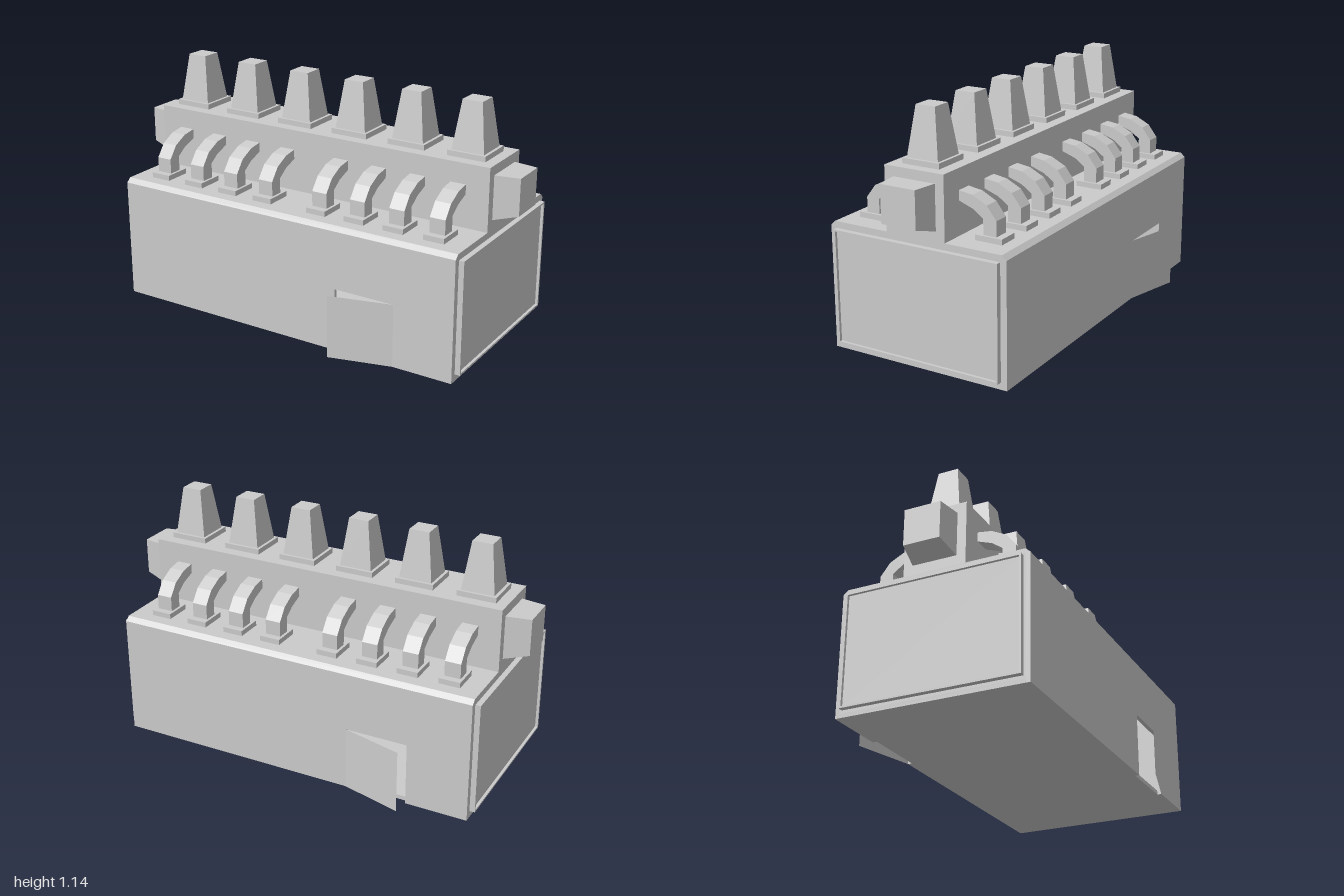
import * as THREE from 'three';

const material = new THREE.MeshStandardMaterial({ color: 0xcccccc, flatShading: true });
const sheetMaterial = new THREE.MeshStandardMaterial({ color: 0xcccccc, flatShading: true, side: THREE.DoubleSide });

const HALF = 0.885;   // half length of the building
const DEPTH = 0.445;  // half depth of the hall
const WALL = 0.02;

export function createModel() {
  const model = new THREE.Group();

  function add(name, geometry, x = 0, y = 0, z = 0, mat = material) {
    const mesh = new THREE.Mesh(geometry, mat);
    mesh.name = name;
    mesh.position.set(x, y, z);
    model.add(mesh);
    return mesh;
  }

  // Box given by its limits
  function block(name, x0, x1, y0, y1, z0, z1) {
    return add(name, new THREE.BoxGeometry(x1 - x0, y1 - y0, z1 - z0),
      (x0 + x1) / 2, (y0 + y1) / 2, (z0 + z1) / 2);
  }

  const shapeOf = (points) => new THREE.Shape(points.map(([a, b]) => new THREE.Vector2(a, b)));

  // Profile of [z, y] points extruded along x, centred on x = 0
  function alongX(points, width, holes = []) {
    const shape = shapeOf(points);
    shape.holes = holes.map(shapeOf);
    return new THREE.ExtrudeGeometry(shape, { depth: width, bevelEnabled: false })
      .translate(0, 0, -width / 2).rotateY(-Math.PI / 2);
  }

  // Square frustum standing on y = 0, from half width a (bottom) to b (top)
  const frustum = (a, b, h) =>
    new THREE.CylinderGeometry(b * Math.SQRT2, a * Math.SQRT2, h, 4).rotateY(Math.PI / 4).translate(0, h / 2, 0);

  // Hall: floor, chamfered roof, and two long walls with a doorway each
  block('floor', -HALF, HALF, 0, WALL, -DEPTH + WALL, DEPTH - WALL);
  add('roof', alongX([[-DEPTH, 0.575], [DEPTH, 0.575], [DEPTH - 0.022, 0.595], [-DEPTH + 0.022, 0.595]], 2 * HALF));
  for (const side of [1, -1]) {
    const x0 = side > 0 ? 0.295 : -0.59;
    const x1 = x0 + 0.3;
    const wall = shapeOf([[-HALF, 0], [x0, 0], [x0, 0.3], [x1, 0.3], [x1, 0], [HALF, 0], [HALF, 0.575], [-HALF, 0.575]]);
    add(side > 0 ? 'frontWall' : 'backWall',
      new THREE.ExtrudeGeometry(wall, { depth: WALL, bevelEnabled: false }),
      0, 0, side > 0 ? DEPTH - WALL : -DEPTH);

    // Door standing ajar, hinged at its +x edge
    const door = add(side > 0 ? 'frontDoor' : 'backDoor',
      new THREE.PlaneGeometry(0.3, 0.3).translate(-0.15, 0.15, 0), x1, 0, side * DEPTH, sheetMaterial);
    door.rotation.y = side * 0.255;
  }

  // End walls with a raised rim around a panel
  const rect = (z, y0, y1) => [[-z, y0], [z, y0], [z, y1], [-z, y1]];
  for (const side of [1, -1]) {
    const put = (name, inner, outer, y0, y1, z) =>
      block(name, Math.min(side * inner, side * outer), Math.max(side * inner, side * outer), y0, y1, -z, z);
    put('endWall', HALF - WALL, HALF, WALL, 0.575, DEPTH - WALL);
    put('endPanel', HALF, 0.897, 0.04, 0.557, 0.407);
    add('endRim', alongX(rect(0.415, 0.033, 0.564), 0.025, [rect(0.406, 0.041, 0.556)]), side * 0.8975);
  }

  // Upper storey
  block('upperBlock', -HALF, HALF, 0.595, 0.89, -0.148, 0.148);

  // Tapered vents on the ends of the upper storey, flat on top
  for (const side of [1, -1]) {
    const geometry = new THREE.BoxGeometry(0.115, 0.205, 0.21);
    const p = geometry.attributes.position;
    for (let i = 0; i < p.count; i++) {
      if (p.getX(i) * side > 0) {
        p.setZ(i, p.getZ(i) * 0.82);
        if (p.getY(i) < 0) p.setY(i, p.getY(i) + 0.033);
      }
    }
    geometry.computeVertexNormals();
    add('endVent', geometry, side * (HALF + 0.0575), 0.7425, 0);
  }

  // Row of chimneys on square plinths
  for (let i = 0; i < 6; i++) {
    const x = (i - 2.5) * 0.297;
    block('chimneyPlinth', x - 0.092, x + 0.092, 0.89, 0.915, -0.092, 0.092);
    add('chimney', frustum(0.078, 0.048, 0.225), x, 0.915, 0);
  }

  // Bent ducts from the hall roof into the upper storey, on both sides
  const duct = [[0.14, 0.795], [0.148, 0.795], [0.215, 0.785], [0.284, 0.75], [0.33, 0.69], [0.33, 0.615],
    [0.266, 0.615], [0.266, 0.69], [0.217, 0.725], [0.148, 0.75], [0.14, 0.75]];
  for (const side of [1, -1]) {
    for (const x of [-0.743, -0.545, -0.348, -0.15, 0.143, 0.341, 0.539, 0.737]) {
      const mesh = add('duct', alongX(duct, 0.075), x);
      if (side < 0) mesh.rotation.y = Math.PI;
      add('ductFoot', new THREE.BoxGeometry(0.1, 0.025, 0.13), x, 0.6075, side * 0.298);
    }
  }

  return model;
}
